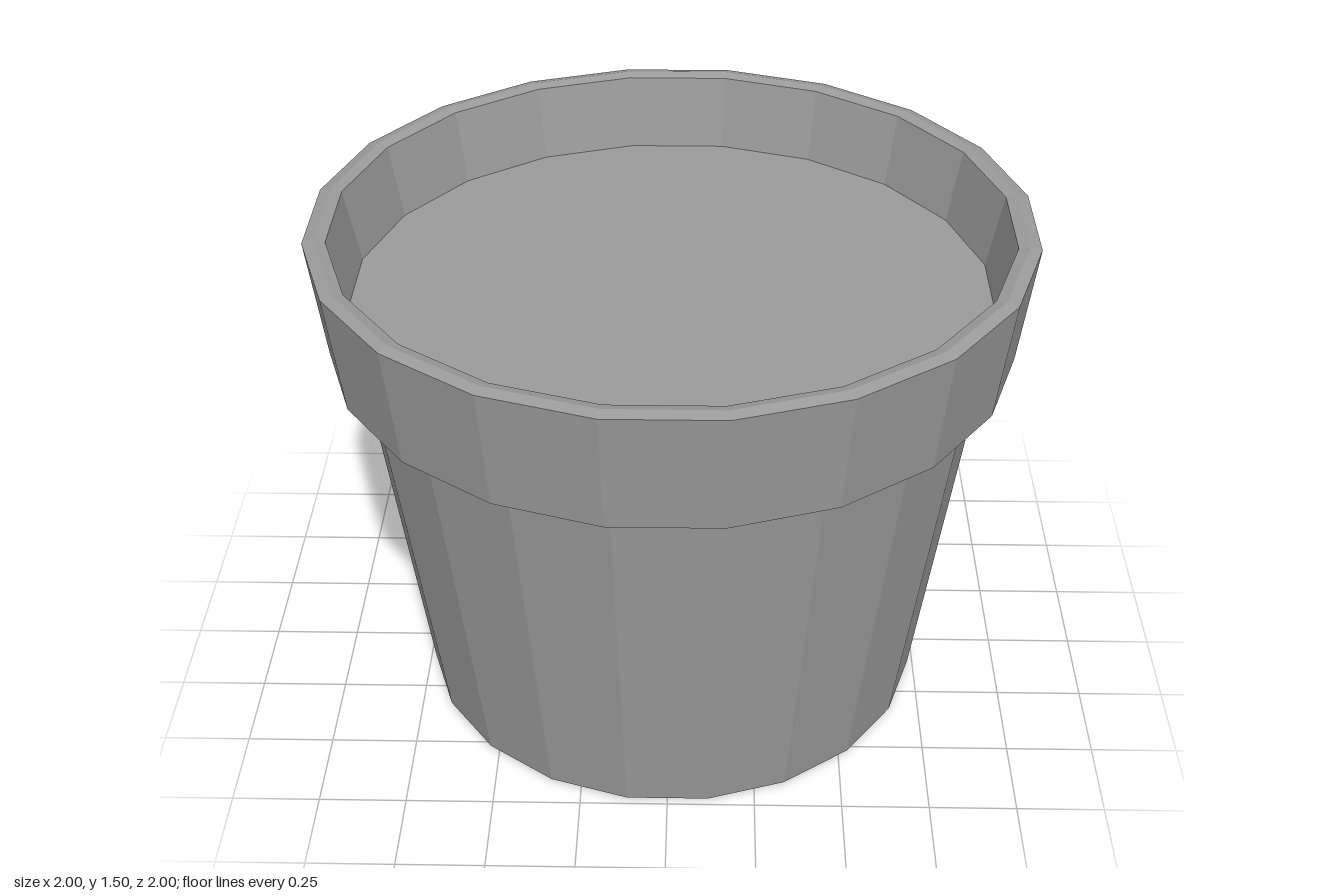
import * as THREE from 'three';

const SIDES = 20;
const HALF = Math.PI / SIDES;

// Lathe a faceted part; radii are measured to the middle of a flat side
function faceted(name, profile) {
  const points = profile.map(([r, y]) => new THREE.Vector2(r / Math.cos(HALF), y));
  const geometry = new THREE.LatheGeometry(points, SIDES, HALF);
  const material = new THREE.MeshStandardMaterial({ color: 0x9b9b9b, flatShading: true });
  const mesh = new THREE.Mesh(geometry, material);
  mesh.name = name;
  return mesh;
}

export function createModel() {
  const pot = new THREE.Group();
  pot.name = 'flowerPot';

  // Tapered body with a closed base and a slightly eased bottom edge
  pot.add(faceted('body', [[0, 0], [0.725, 0], [0.734, 0.008], [0.884, 1.14]]));

  // Overhanging collar: underside, outer wall, eased lip, inner wall
  pot.add(faceted('collar', [
    [0.884, 1.14], [0.957, 1.14], [1, 1.489], [0.968, 1.497], [0.937, 1.489], [0.895, 1.275],
  ]));

  // Flat soil surface set below the lip
  pot.add(faceted('soil', [[0.895, 1.275], [0, 1.275]]));

  return pot;
}
